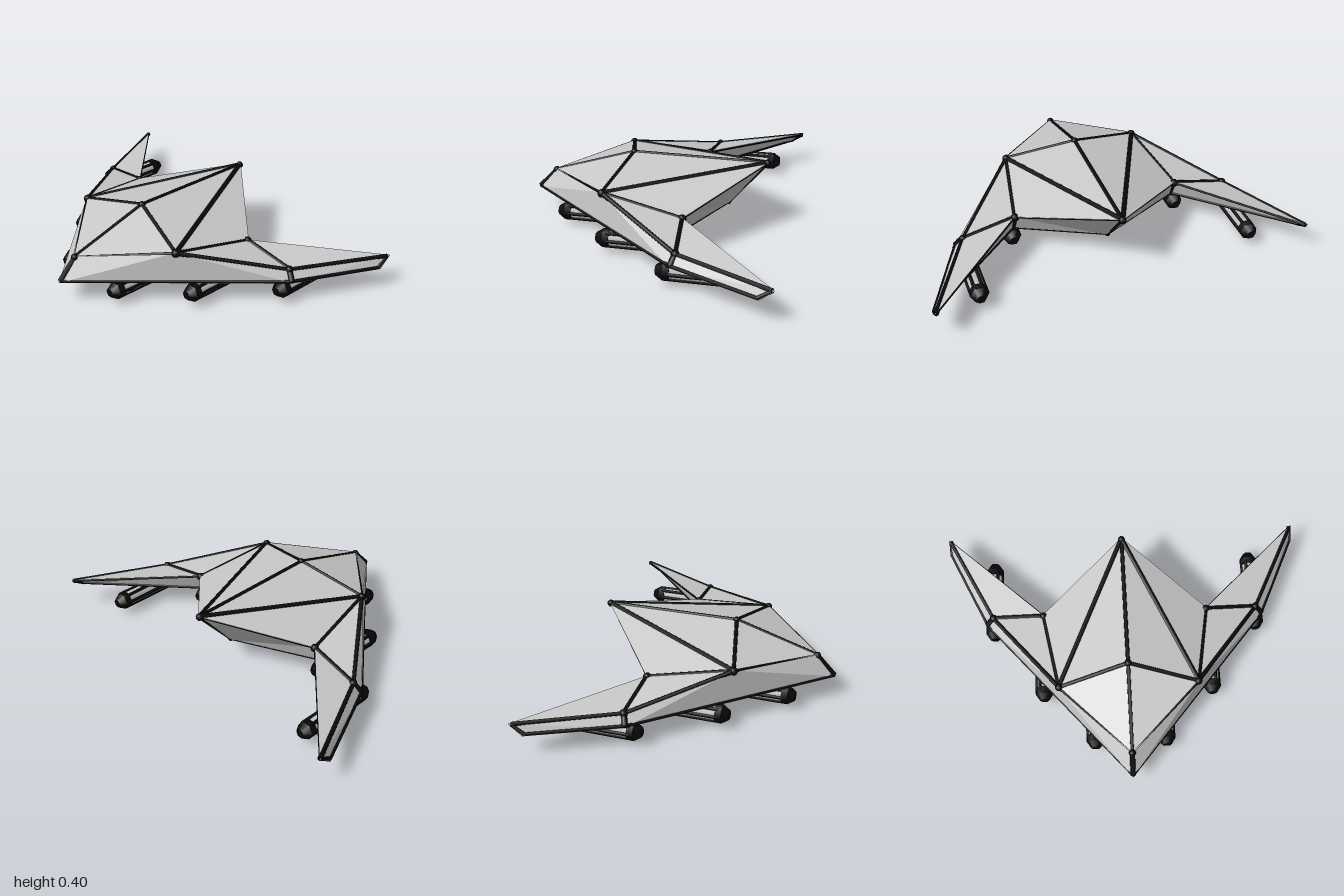
import * as THREE from 'three';

const panel = new THREE.MeshStandardMaterial({ color: 0xc8c8c8 });
panel.name = 'pale grey';
const frame = new THREE.MeshStandardMaterial({ color: 0x080808 });
frame.name = 'black';

// Hull corners for the +x half
const V = {
  noseLow: [0, 0.12, 0.72], noseTop: [0, 0.24, 0.62], apex: [0, 0.385, 0.16], tail: [0, 0.38, -0.585],
  shoulder: [0.38, 0.295, 0.25], elbow: [0.46, 0.23, -0.2], wing: [0.75, 0.18, -0.22], tip: [1, 0.18, -0.72],
  shoulderLow: [0.38, 0.12, 0.277], elbowLow: [0.46, 0.12, -0.16], wingLow: [0.79, 0.12, -0.2],
  tipLow: [1, 0.12, -0.65], rear: [0, 0.12, -0.38], keel: [0, 0.002, 0.16],
};

const parts = {
  upperPanels: ['noseTop shoulder apex', 'shoulder tail apex', 'shoulder elbow tail', 'shoulder wing elbow'],
  wingPanels: ['elbow wing tip', 'wingLow tip wing', 'wingLow tipLow tip', 'elbow tip tipLow', 'elbow tipLow elbowLow'],
  sidePanels: ['noseLow shoulder noseTop', 'noseLow wingLow shoulder', 'wingLow wing shoulder'],
  rearPanels: ['tail elbow rear', 'elbow elbowLow rear'],
  underPanels: ['noseLow keel shoulderLow', 'keel rear elbowLow', 'elbowLow tipLow wingLow'],
};
// The fold under each wing root runs along a different diagonal
const fold = {
  '1': ['keel elbowLow shoulderLow', 'shoulderLow elbowLow wingLow'],
  '-1': ['keel elbowLow wingLow', 'keel wingLow shoulderLow'],
};

const thick = 0.0125, thin = 0.005;
const sideBeams = [
  ['noseTop shoulder', 0.01], ['apex shoulder', thick], ['shoulder tail', 0.015], ['shoulder elbow', thick],
  ['shoulder wing', thick], ['elbow wing', 0.014], ['wing tip', thick], ['wing wingLow', 0.016],
  ['tip tipLow', 0.01], ['noseLow wingLow', 0.009], ['wingLow tipLow', 0.009], ['elbow elbowLow', thick],
  ['elbowLow tipLow', 0.008], ['elbowLow rear', 0.009], ['elbow tip', thin], ['elbow tail', thin],
];
const centreBeams = [
  ['noseLow noseTop', 0.014], ['noseTop apex', thick], ['apex tail', thick],
  ['tail rear', 0.01], ['rear keel', 0.009], ['keel noseLow', 0.009],
];

function panelMesh(name, faces, side) {
  const pos = [];
  for (const face of faces) {
    const names = face.split(' ');
    if (side < 0) names.reverse();
    for (const n of names) pos.push(V[n][0] * side, V[n][1], V[n][2]);
  }
  const geo = new THREE.BufferGeometry();
  geo.setAttribute('position', new THREE.Float32BufferAttribute(pos, 3));
  geo.computeVertexNormals();
  const mesh = new THREE.Mesh(geo, panel);
  mesh.name = name;
  return mesh;
}

// Frame corners sit slightly inside the skin
function inset(name, side) {
  const [x, y, z] = V[name];
  return new THREE.Vector3(x * side * 0.99, y > 0.15 ? y - 0.007 : y + 0.008, z * 0.985);
}

function beam([ends, radius], side) {
  const [a, b] = ends.split(' ').map((n) => inset(n, side));
  const dir = b.clone().sub(a);
  const mesh = new THREE.Mesh(new THREE.CylinderGeometry(radius, radius, dir.length(), 8), frame);
  mesh.position.copy(a).add(b).multiplyScalar(0.5);
  mesh.quaternion.setFromUnitVectors(new THREE.Vector3(0, 1, 0), dir.normalize());
  mesh.name = 'frameBeam';
  return mesh;
}

function joint(name, side, radius) {
  const mesh = new THREE.Mesh(new THREE.SphereGeometry(radius, 10, 8), frame);
  mesh.position.copy(inset(name, side));
  mesh.name = 'frameJoint';
  return mesh;
}

// Six-sided pod with black edge rods and tapered ends, lying along z
function pod(x, zFront) {
  const g = new THREE.Group();
  g.name = 'pod';
  const add = (geo, mat, name, px = 0, py = 0, pz = 0, rx = Math.PI / 2) => {
    geo.rotateY(Math.PI / 6).rotateX(rx);
    const m = new THREE.Mesh(geo, mat);
    m.position.set(px, py, pz);
    m.name = name;
    g.add(m);
  };
  add(new THREE.CylinderGeometry(0.043, 0.043, 0.35, 6).toNonIndexed(), panel, 'podBody');
  for (let i = 0; i < 6; i++) {
    const a = (i * Math.PI) / 3;
    add(new THREE.CylinderGeometry(0.009, 0.009, 0.36, 6), frame, 'podRod', 0.041 * Math.cos(a), 0.041 * Math.sin(a));
  }
  for (const s of [1, -1]) {
    add(new THREE.CylinderGeometry(0.05, 0.05, 0.035, 6), frame, 'podCollar', 0, 0, s * 0.18);
    add(new THREE.CylinderGeometry(0.025, 0.05, 0.038, 6), frame, 'podEnd', 0, 0, s * 0.2165, s * Math.PI / 2);
  }
  g.position.set(x, 0.08, zFront - 0.2355);
  return g;
}

export function createModel() {
  const model = new THREE.Group();
  model.name = 'deltaCraft';
  for (const side of [1, -1]) {
    const half = new THREE.Group();
    half.name = side > 0 ? 'leftHalf' : 'rightHalf';
    for (const [name, faces] of Object.entries(parts)) half.add(panelMesh(name, faces, side));
    half.add(panelMesh('wingRootUnderside', fold[side], side));
    for (const b of sideBeams) half.add(beam(b, side));
    for (const n of ['shoulder', 'elbow', 'wing']) half.add(joint(n, side, 0.022));
    half.add(joint('elbowLow', side, 0.015));
    for (const [x, z] of [[0.195, 0.54], [0.47, 0.255], [0.745, -0.12]]) half.add(pod(x * side, z));
    model.add(half);
  }
  // Centre line of the frame
  for (const b of centreBeams) model.add(beam(b, 1));
  for (const n of ['noseTop', 'apex', 'tail', 'rear']) model.add(joint(n, 1, n === 'rear' ? 0.015 : 0.02));
  return model;
}
